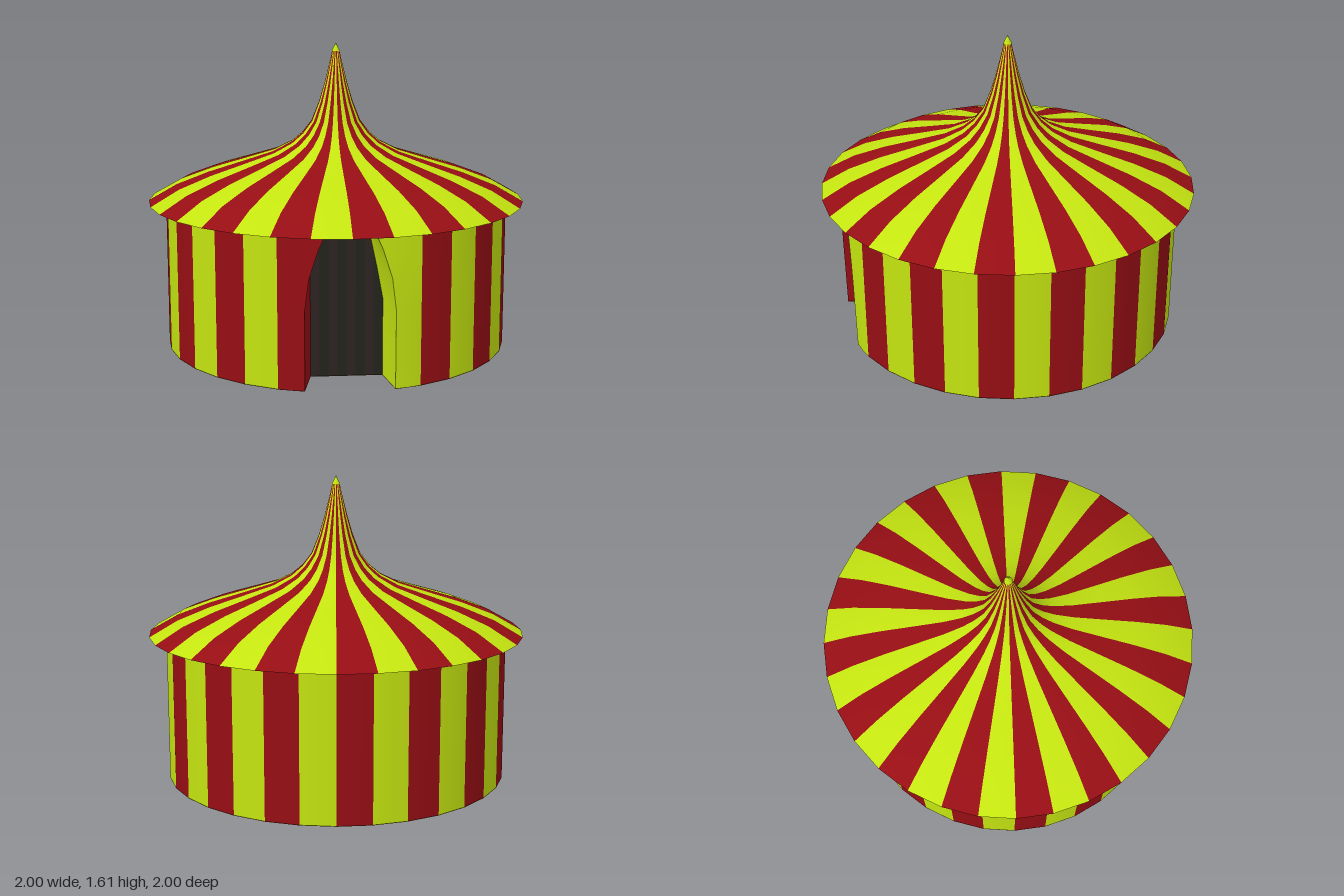
import * as THREE from 'three';
import { mergeGeometries } from 'three/addons/utils/BufferGeometryUtils.js';

const SIDES = 32, STEP = (Math.PI * 2) / SIDES;
const WALL_R = 0.91, EAVE_Y = 0.78;
const mat = (color) => new THREE.MeshStandardMaterial({ color, side: THREE.DoubleSide });

export function createModel() {
  const tent = new THREE.Group();
  tent.name = 'stripedTent';
  const red = mat(0x960e14), yellow = mat(0xc4e410), brown = mat(0x6b4415);
  const darkRed = mat(0x2e2222), darkGreen = mat(0x24241c);

  const add = (name, geometry, material) => {
    const mesh = new THREE.Mesh(geometry, material);
    mesh.name = name;
    tent.add(mesh);
    return mesh;
  };

  // Turns a profile into alternating one-segment stripes, merged by colour
  const stripes = (name, points, skip = () => false) => {
    const profile = points.map(([r, y]) => new THREE.Vector2(r, y));
    const sets = [[], []];
    for (let i = 0; i < SIDES; i++) {
      if (!skip(i)) sets[i % 2].push(new THREE.LatheGeometry(profile, 1, i * STEP, STEP));
    }
    add(name + 'RedStripes', mergeGeometries(sets[0]), red);
    add(name + 'YellowStripes', mergeGeometries(sets[1]), yellow);
  };

  // Surface through rows of [x, y, z] points
  const loft = (rows) => {
    const n = rows[0].length, index = [];
    for (let r = 0; r < rows.length - 1; r++) {
      for (let c = 0; c < n - 1; c++) {
        const a = r * n + c, b = a + n;
        index.push(a, a + 1, b + 1, a, b + 1, b);
      }
    }
    const g = new THREE.BufferGeometry();
    g.setAttribute('position', new THREE.Float32BufferAttribute(rows.flat(2), 3));
    g.setIndex(index);
    g.computeVertexNormals();
    return g;
  };

  // Swept roof, eave underside and tip
  stripes('roof', [
    [1, EAVE_Y], [0.85, 0.865], [0.68, 0.93], [0.5, 0.985], [0.34, 1.035], [0.24, 1.085],
    [0.18, 1.135], [0.13, 1.2], [0.09, 1.3], [0.06, 1.4], [0.03, 1.52], [0.018, 1.575],
  ]);
  const eave = add('eaveUnderside', new THREE.RingGeometry(0.6, 1, SIDES), red);
  eave.rotation.x = Math.PI / 2;
  eave.position.y = EAVE_Y;
  const tip = add('roofTip', new THREE.ConeGeometry(0.022, 0.045, 16), yellow);
  tip.position.y = 1.59;

  // Wall, left open over the four front segments
  stripes('wall', [[WALL_R, 0.005], [WALL_R, EAVE_Y]], (i) => i < 2 || i >= SIDES - 2);

  // Tied-back door curtains: a front panel and a return folded inwards
  const levels = [0.005, 0.2, 0.4, 0.56, 0.7, EAVE_Y];
  const edgeX = [0.22, 0.22, 0.22, 0.2, 0.155, 0.12];
  const innerX = { left: [0.18, 0.18, 0.18, 0.15, 0.12, 0.1], right: [0.18, 0.18, 0.18, 0.18, 0.175, 0.13] };
  const cornerX = WALL_R * Math.sin(2 * STEP), cornerZ = WALL_R * Math.cos(2 * STEP);
  for (const [side, s, material] of [['left', 1, yellow], ['right', -1, red]]) {
    const front = [], back = [];
    levels.forEach((y, i) => {
      const x = edgeX[i], z = 0.88 + 0.012 * (y / EAVE_Y);
      front.push([[s * cornerX, y, cornerZ], [s * (cornerX + x) / 2, y, (cornerZ + z) / 2 + 0.005], [s * x, y, z]]);
      back.push([[s * x, y, z], [s * innerX[side][i], y, 0.67]]);
    });
    add(side + 'Curtain', loft(front), material);
    add(side + 'CurtainFold', loft(back), material);
  }

  // Dark pleated backdrop inside the doorway
  const w = 0.045;
  for (let i = 0; i < 8; i++) {
    const strip = add('doorwayBackdrop', new THREE.PlaneGeometry(w, EAVE_Y - 0.005), i % 2 ? darkGreen : darkRed);
    strip.position.set((i - 3.5) * w, (EAVE_Y + 0.005) / 2, 0.67);
  }

  // Floor following the wall, notched at the doorway
  const outline = [];
  for (let i = 2; i <= SIDES - 2; i++) {
    outline.push(new THREE.Vector2(WALL_R * Math.sin(i * STEP), WALL_R * Math.cos(i * STEP)));
  }
  for (const [x, z] of [[-0.22, 0.88], [-0.18, 0.67], [0.18, 0.67], [0.22, 0.88]]) outline.push(new THREE.Vector2(x, z));
  const floor = add('floor', new THREE.ShapeGeometry(new THREE.Shape(outline)), brown);
  floor.rotation.x = Math.PI / 2;
  floor.position.y = 0.003;

  return tent;
}
